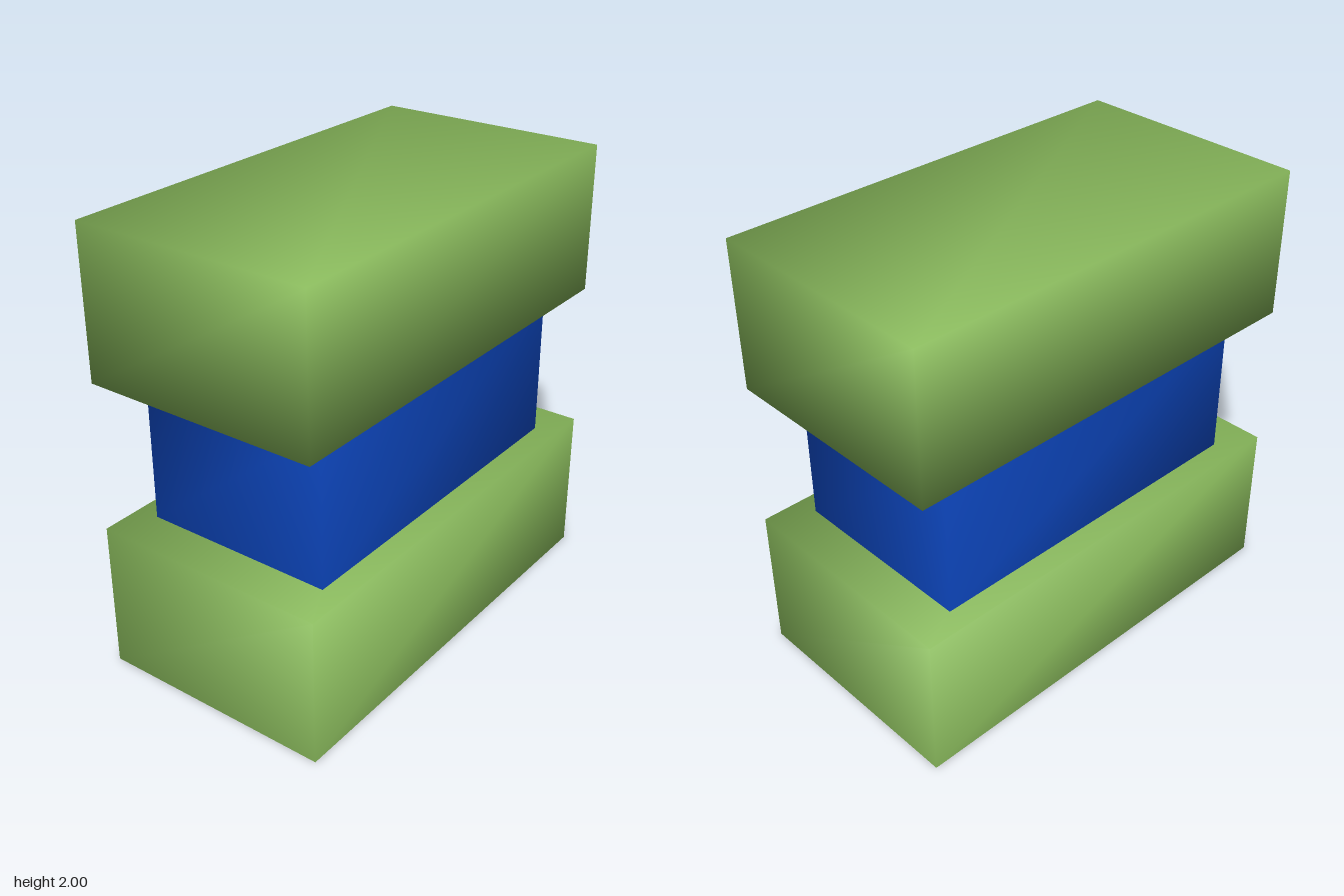
import * as THREE from 'three';
import { mergeVertices } from 'three/addons/utils/BufferGeometryUtils.js';

// Box with shared corners and softly averaged normals; listed faces are left open.
// Face order: 0 +x, 1 -x, 2 top, 3 bottom, 4 front, 5 back
function softBox(name, size, y, material, openFaces = []) {
  const geometry = new THREE.BoxGeometry(...size);
  const indices = Array.from(geometry.index.array);
  geometry.setIndex(indices.filter((_, i) => !openFaces.includes(Math.floor(i / 6))));
  geometry.deleteAttribute('normal');
  geometry.deleteAttribute('uv');
  const welded = mergeVertices(geometry);
  welded.computeVertexNormals();
  const mesh = new THREE.Mesh(welded, material);
  mesh.name = name;
  mesh.position.y = y;
  return mesh;
}

export function createModel() {
  const green = new THREE.MeshStandardMaterial({ color: 0x88b85b, side: THREE.DoubleSide });
  green.name = 'leaf green';
  const blue = new THREE.MeshStandardMaterial({ color: 0x0d47c0, side: THREE.DoubleSide });
  blue.name = 'deep blue';

  const h = 2 / 3;
  const group = new THREE.Group();
  group.name = 'stackedBlocks';
  group.add(
    // Hollow base, open underneath
    softBox('baseBlock', [2, h, 1.08], h / 2, green, [3]),
    // Narrower band of four walls between the blocks
    softBox('middleBand', [1.62, h, 0.875], 1, blue, [2, 3]),
    // Closed cap
    softBox('topBlock', [2, h, 1.08], 2 - h / 2, green)
  );
  return group;
}
